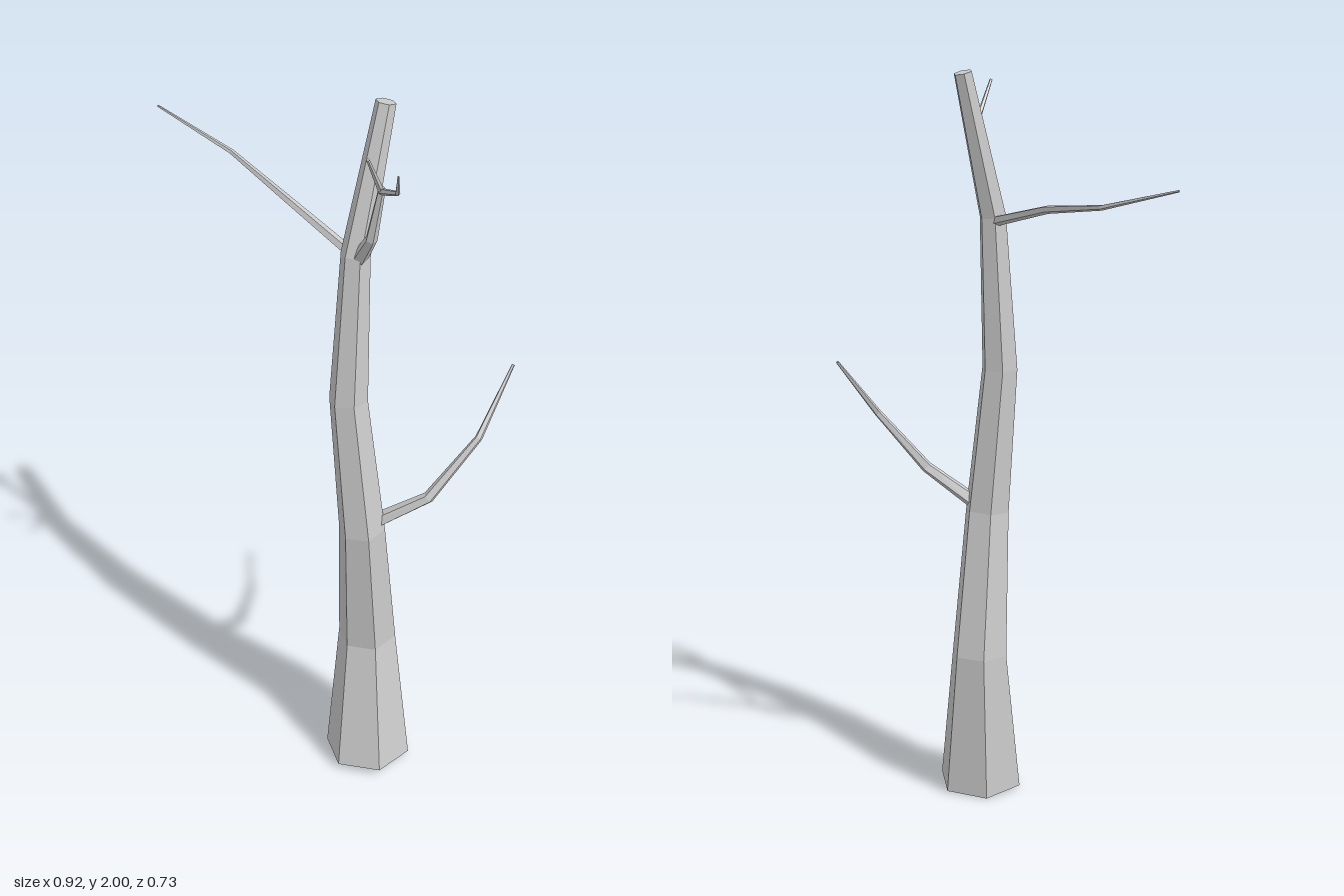
import * as THREE from 'three';

// Lofts a faceted tapering limb; each station is [x, y, z, radius], rings square to the path
function limb(stations, sides, turn = 0) {
  const pts = stations.map(([x, y, z]) => new THREE.Vector3(x, y, z));
  const up = new THREE.Vector3(0, 1, 0);
  const last = pts.length - 1;
  const pos = [];
  const idx = [];
  pts.forEach((p, k) => {
    const dir = new THREE.Vector3();
    if (k > 0) dir.add(p.clone().sub(pts[k - 1]).normalize());
    if (k < last) dir.add(pts[k + 1].clone().sub(p).normalize());
    const q = new THREE.Quaternion().setFromUnitVectors(up, dir.normalize());
    for (let i = 0; i < sides; i++) {
      const a = turn + (i / sides) * Math.PI * 2;
      const r = stations[k][3];
      const v = new THREE.Vector3(Math.cos(a) * r, 0, Math.sin(a) * r).applyQuaternion(q).add(p);
      pos.push(v.x, v.y, v.z);
    }
  });
  for (let k = 0; k < last; k++) {
    for (let i = 0; i < sides; i++) {
      const a = k * sides + i;
      const b = k * sides + ((i + 1) % sides);
      idx.push(a, a + sides, b, b, a + sides, b + sides);
    }
  }
  // cap on the far end; the near end stays open
  const top = last * sides;
  for (let i = 1; i < sides - 1; i++) idx.push(top, top + i + 1, top + i);
  const geo = new THREE.BufferGeometry();
  geo.setAttribute('position', new THREE.Float32BufferAttribute(pos, 3));
  geo.setIndex(idx);
  const flat = geo.toNonIndexed();
  flat.computeVertexNormals();
  return flat;
}

export function createModel() {
  const tree = new THREE.Group();
  tree.name = 'deadTree';
  const bark = new THREE.MeshStandardMaterial({ color: 0xcccccc, flatShading: true, side: THREE.DoubleSide });
  bark.name = 'paleGreyBark';

  const add = (name, stations, sides, turn) => {
    const mesh = new THREE.Mesh(limb(stations, sides, turn), bark);
    mesh.name = name;
    tree.add(mesh);
  };

  // Crooked six-sided trunk, hollow at the foot
  add('trunk', [
    [0.097, 0.016, 0.168, 0.118],
    [0.092, 0.41, 0.127, 0.079],
    [0.075, 0.81, 0.165, 0.062],
    [0.038, 1.21, 0.15, 0.05],
    [0.053, 1.62, 0.128, 0.037],
    [0.12, 1.993, 0.062, 0.025],
  ], 6, THREE.MathUtils.degToRad(13));

  // Low branch on the left side
  add('leftBranch', [
    [0.11, 0.83, 0.165, 0.021],
    [0.245, 0.92, 0.178, 0.016],
    [0.37, 1.08, 0.132, 0.01],
    [0.455, 1.238, 0.03, 0.004],
  ], 5);

  // Long thin branch reaching back to the right
  add('rightBranch', [
    [0.04, 1.61, 0.105, 0.014],
    [-0.11, 1.662, -0.045, 0.011],
    [-0.265, 1.695, -0.235, 0.007],
    [-0.46, 1.755, -0.365, 0.003],
  ], 5);

  // Forked branch at the front
  add('frontBranch', [
    [0.063, 1.62, 0.145, 0.02],
    [0.09, 1.7, 0.192, 0.015],
    [0.113, 1.85, 0.215, 0.009],
  ], 5);
  add('frontTwigInner', [
    [0.112, 1.84, 0.213, 0.008],
    [0.08, 1.96, 0.282, 0.004],
  ], 5);
  add('frontTwigOuter', [
    [0.112, 1.84, 0.213, 0.009],
    [0.148, 1.888, 0.305, 0.006],
    [0.148, 1.965, 0.365, 0.002],
  ], 5);

  return tree;
}
